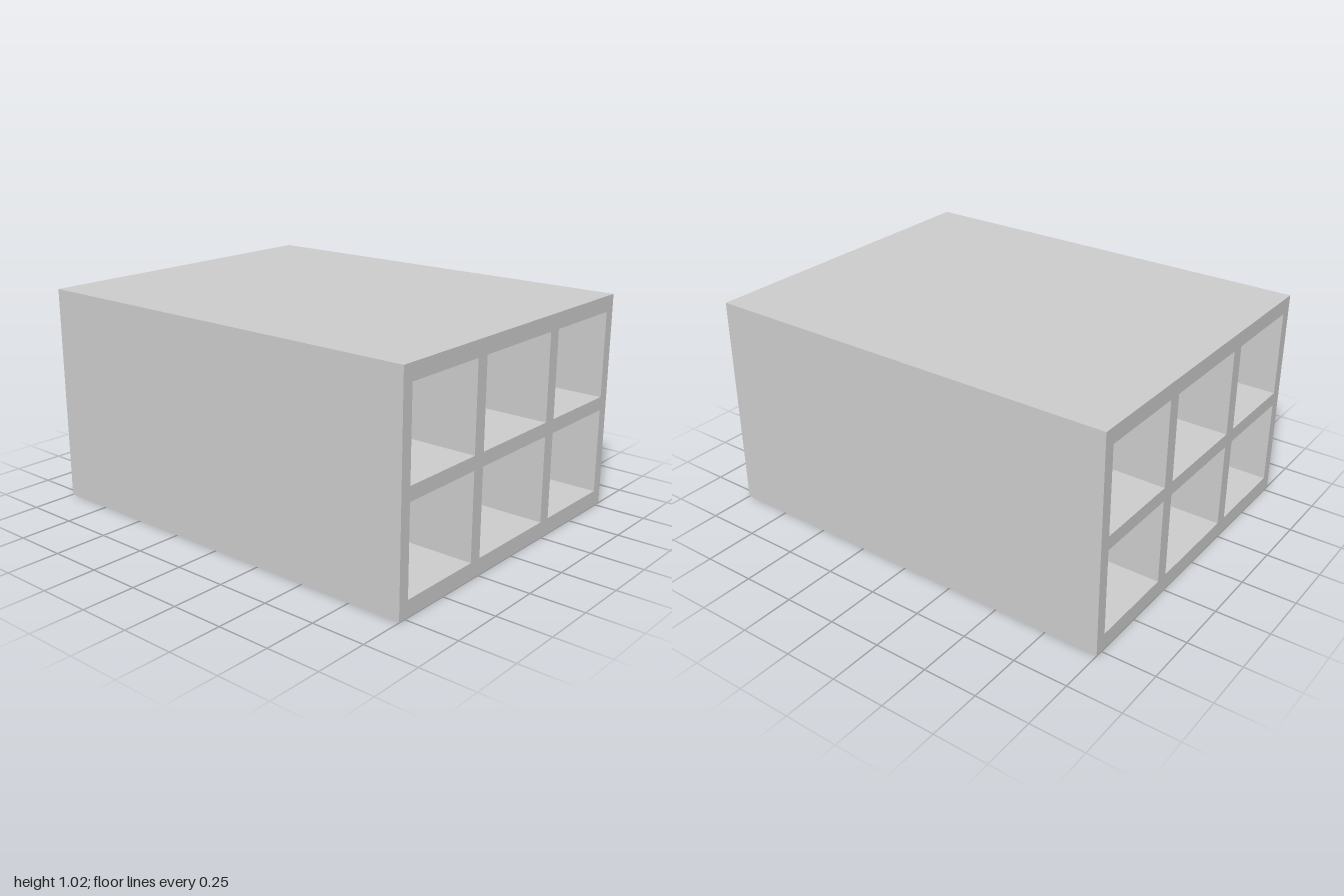
import * as THREE from 'three';

// Rectangle corners, counter-clockwise
const rect = (x0, y0, x1, y1) => [
  new THREE.Vector2(x0, y0), new THREE.Vector2(x1, y0),
  new THREE.Vector2(x1, y1), new THREE.Vector2(x0, y1),
];

export function createModel() {
  const group = new THREE.Group();
  group.name = 'hollowBlock';

  const length = 2, halfWidth = 0.785, height = 1.02;
  const columns = [[-0.731, -0.305], [-0.242, 0.242], [0.305, 0.731]];
  const rows = [[0.076, 0.479], [0.543, 0.946]];

  // End profile: outer wall with a 3 x 2 grid of cells
  const profile = new THREE.Shape(rect(-halfWidth, 0, halfWidth, height));
  for (const [x0, x1] of columns) {
    for (const [y0, y1] of rows) {
      profile.holes.push(new THREE.Path(rect(x0, y0, x1, y1).reverse()));
    }
  }

  // Cells run right through the block along x
  const geometry = new THREE.ExtrudeGeometry(profile, { depth: length, bevelEnabled: false });
  geometry.translate(0, 0, -length / 2);
  geometry.rotateY(Math.PI / 2);

  const block = new THREE.Mesh(geometry, new THREE.MeshStandardMaterial({ color: 0xcccccc }));
  block.name = 'cellBlock';
  group.add(block);
  return group;
}
